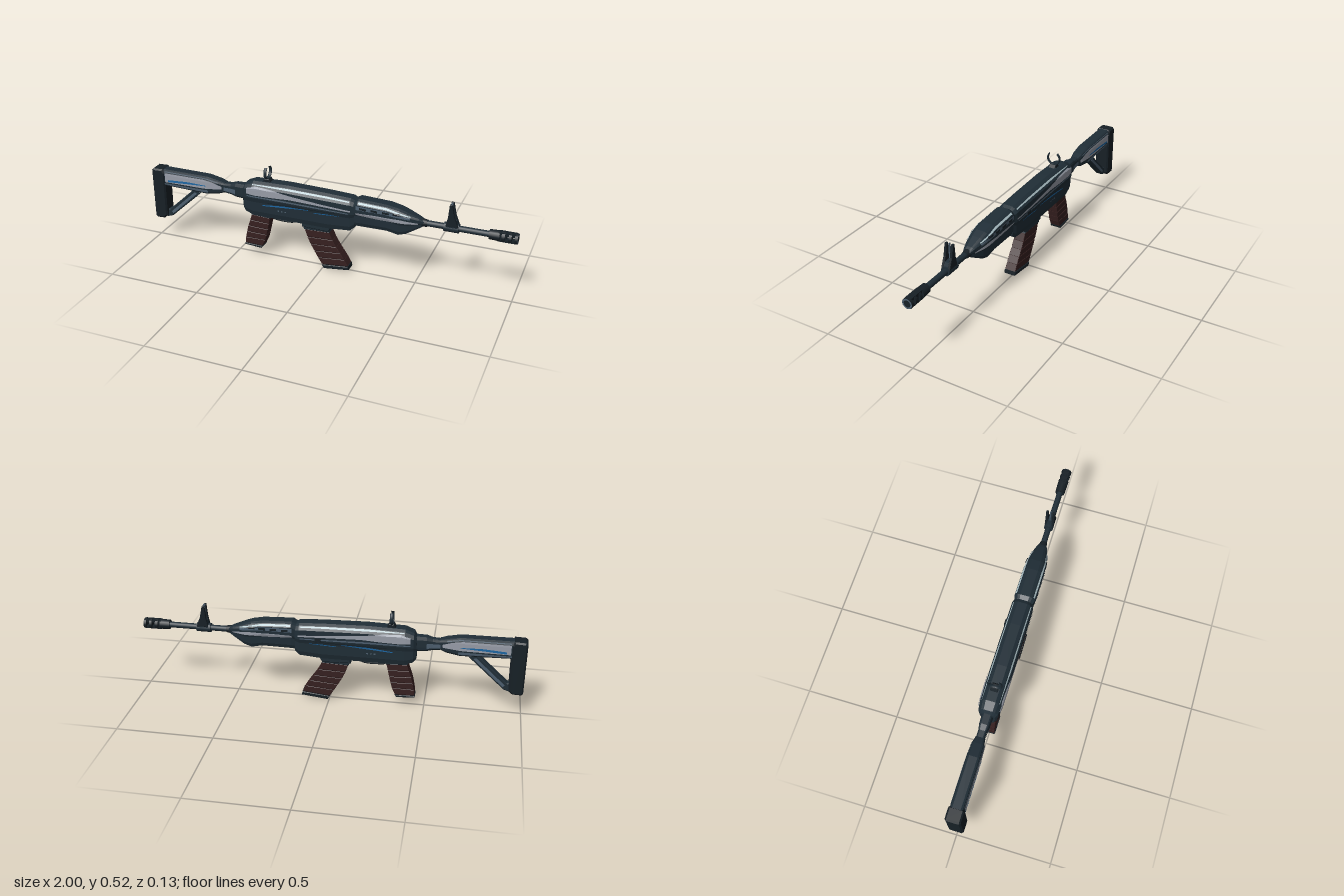
import * as THREE from 'three';

const mat = (name, color) => Object.assign(new THREE.MeshStandardMaterial({ color }), { name });
const M = {
  body: mat('gunmetal', 0x202e37),
  dark: mat('blackSteel', 0x172026),
  steel: mat('blueSteel', 0x4d5f6f),
  silver: mat('silver', 0x989da8),
  trim: mat('paleTrim', 0xaec3c9),
  blue: mat('blueStripe', 0x1d67a4),
  brown: mat('brownGrip', 0x372020),
  groove: mat('darkBrown', 0x1f1415),
};

// half cross-section: [height fraction, width fraction]
const SHELL = [[0, 0.72], [0.14, 0.86], [0.42, 0.88], [0.54, 1], [0.84, 1], [0.95, 0.72], [1, 0.45]];
const STOCK = [[0, 0.7], [0.12, 0.95], [0.3, 1], [0.8, 1], [0.95, 0.85], [1, 0.6]];

// stations run along x: [x, bottom, top, half width]
const receiver = { sec: SHELL, st: [[-0.45, 0.28, 0.4, 0.038], [-0.435, 0.265, 0.425, 0.05], [-0.39, 0.25, 0.443, 0.055],
  [-0.2, 0.25, 0.448, 0.056], [0.03, 0.25, 0.442, 0.056], [0.155, 0.26, 0.436, 0.055], [0.178, 0.28, 0.425, 0.048]] };
const guard = { sec: SHELL, st: [[0.17, 0.29, 0.425, 0.047], [0.195, 0.295, 0.44, 0.054], [0.35, 0.297, 0.433, 0.054],
  [0.41, 0.283, 0.422, 0.05], [0.45, 0.295, 0.408, 0.045], [0.51, 0.33, 0.385, 0.028], [0.535, 0.345, 0.372, 0.019]] };
const stock = { sec: STOCK, st: [[-0.935, 0.325, 0.42, 0.035], [-0.67, 0.318, 0.418, 0.035], [-0.6, 0.33, 0.405, 0.031], [-0.565, 0.342, 0.395, 0.023]] };
const neck = { sec: STOCK, st: [[-0.59, 0.342, 0.392, 0.021], [-0.53, 0.335, 0.395, 0.021], [-0.5, 0.328, 0.404, 0.026], [-0.44, 0.325, 0.405, 0.028]] };

const lerp = THREE.MathUtils.lerp;

// piecewise linear lookup in rows keyed by their first number
function sample(rows, k) {
  let i = 0;
  while (i < rows.length - 2 && k > rows[i + 1][0]) i++;
  const a = rows[i], b = rows[i + 1];
  const t = THREE.MathUtils.clamp((k - a[0]) / (b[0] - a[0]), 0, 1);
  return a.map((v, j) => lerp(v, b[j], t));
}

function fromTriangles(pos) {
  const g = new THREE.BufferGeometry();
  g.setAttribute('position', new THREE.Float32BufferAttribute(pos, 3));
  g.computeVertexNormals();
  return g;
}

// faceted hull through the stations, closed at both ends
function loft({ sec, st }) {
  const half = [...sec, ...[...sec].reverse().map(([v, w]) => [v, -w])];
  const rings = st.map(([x, b, t, hw]) => half.map(([v, w]) => [x, lerp(b, t, v), w * hw]));
  const n = half.length, pos = [];
  for (let i = 0; i < rings.length - 1; i++) for (let j = 0; j < n; j++) {
    const k = (j + 1) % n, A = rings[i], B = rings[i + 1];
    pos.push(...A[j], ...B[j], ...B[k], ...A[j], ...B[k], ...A[k]);
  }
  const S = rings[0], E = rings[rings.length - 1];
  for (let k = 1; k < n - 1; k++) pos.push(...S[0], ...S[k], ...S[k + 1], ...E[0], ...E[k + 1], ...E[k]);
  return fromTriangles(pos);
}

// thin skin following a hull's flank; rows: [x, low y, high y]
function skin(hull, rows, side, lift) {
  const nx = 24, ny = 5, pos = [], x0 = rows[0][0], x1 = rows[rows.length - 1][0];
  const point = (i, j) => {
    const [x, lo, hi] = sample(rows, lerp(x0, x1, i / nx));
    const y = lerp(lo, hi, j / ny), [, b, t, hw] = sample(hull.st, x);
    return [x, y, side * (sample(hull.sec, (y - b) / (t - b))[1] * hw + lift)];
  };
  for (let i = 0; i < nx; i++) for (let j = 0; j < ny; j++) {
    const a = point(i, j), b = point(i + 1, j), c = point(i + 1, j + 1), d = point(i, j + 1);
    pos.push(...(side > 0 ? [a, b, c, a, c, d] : [a, c, b, a, d, c]).flat());
  }
  return fromTriangles(pos);
}

// bevelled plate cut from a side profile, centred on z
function plate(pts, width, bevel = 0.006) {
  const g = new THREE.ExtrudeGeometry(new THREE.Shape(pts.map(p => new THREE.Vector2(...p))), {
    depth: width - 2 * bevel, bevelEnabled: bevel > 0, bevelThickness: bevel, bevelSize: bevel, bevelOffset: -bevel, bevelSegments: 1 });
  return g.translate(0, 0, -width / 2 + bevel);
}

// round bar along x at barrel height
const bar = (x0, x1, r, r2 = r) =>
  new THREE.CylinderGeometry(r2, r, x1 - x0, 16).rotateZ(-Math.PI / 2).translate((x0 + x1) / 2, 0.358, 0);

const box = (x0, x1, y0, y1, w, z = 0) =>
  new THREE.BoxGeometry(x1 - x0, y1 - y0, w).translate((x0 + x1) / 2, (y0 + y1) / 2, z);

export function createModel() {
  const root = new THREE.Group();
  root.name = 'rifle';
  const add = (name, geo, material) => {
    const m = new THREE.Mesh(geo, material);
    m.name = name;
    root.add(m);
  };
  const paint = (name, hull, rows, material, lift = 0.003) => {
    for (const s of [1, -1]) add(name, skin(hull, rows, s, lift), material);
  };

  // main hulls
  add('receiver', loft(receiver), M.body);
  add('handguard', loft(guard), M.body);
  add('stock', loft(stock), M.body);
  add('stockNeck', loft(neck), M.body);

  // receiver paint
  paint('receiverPanel', receiver, [[-0.42, 0.378, 0.408], [-0.37, 0.374, 0.424], [-0.27, 0.377, 0.42], [-0.17, 0.383, 0.405], [0.0, 0.378, 0.39], [0.16, 0.372, 0.38]], M.silver, 0.005);
  paint('receiverShade', receiver, [[-0.42, 0.362, 0.368], [-0.2, 0.362, 0.371], [0.15, 0.358, 0.363]], M.steel);
  paint('receiverStripe', receiver, [[-0.33, 0.318, 0.323], [-0.2, 0.328, 0.338], [-0.07, 0.338, 0.342]], M.blue);
  paint('receiverStripeTail', receiver, [[-0.04, 0.327, 0.33], [0.03, 0.33, 0.336], [0.1, 0.334, 0.336]], M.blue);
  paint('receiverSeam', receiver, [[-0.3, 0.339, 0.342], [0.08, 0.348, 0.351]], M.dark);
  paint('receiverTrim', receiver, [[-0.39, 0.428, 0.431], [-0.2, 0.428, 0.437], [0.03, 0.424, 0.432], [0.15, 0.42, 0.425]], M.trim);
  for (const x of [-0.245, -0.225, -0.205])
    paint('receiverMark', receiver, [[x, 0.3, 0.307], [x + 0.01, 0.3, 0.307]], M.steel);

  // handguard paint
  paint('guardPanel', guard, [[0.19, 0.363, 0.374], [0.3, 0.356, 0.377], [0.42, 0.356, 0.375], [0.51, 0.354, 0.362]], M.silver, 0.004);
  paint('guardBand', guard, [[0.19, 0.391, 0.413], [0.34, 0.392, 0.411], [0.47, 0.377, 0.388]], M.steel);
  paint('guardTrim', guard, [[0.2, 0.422, 0.43], [0.35, 0.416, 0.424], [0.47, 0.39, 0.394]], M.trim);
  for (const x of [0.21, 0.27, 0.33, 0.385])
    paint('guardVent', guard, [[x, 0.395, 0.407], [x + 0.035, 0.394, 0.405]], M.dark, 0.005);

  // stock paint, butt and strut
  paint('stockPanel', stock, [[-0.92, 0.35, 0.403], [-0.68, 0.352, 0.403], [-0.62, 0.357, 0.392], [-0.58, 0.36, 0.376]], M.silver);
  paint('stockStripe', stock, [[-0.9, 0.354, 0.366], [-0.78, 0.362, 0.374], [-0.67, 0.368, 0.371]], M.blue, 0.005);
  paint('stockTrim', stock, [[-0.92, 0.408, 0.413], [-0.67, 0.407, 0.412], [-0.6, 0.394, 0.398]], M.steel);
  paint('stockUnderside', stock, [[-0.925, 0.33, 0.343], [-0.66, 0.328, 0.345]], M.steel);
  paint('neckFacet', neck, [[-0.57, 0.352, 0.372], [-0.5, 0.345, 0.372]], M.steel);
  add('buttPlate', plate([[-1, 0.132], [-0.99, 0.124], [-0.945, 0.126], [-0.925, 0.145], [-0.922, 0.4], [-0.935, 0.422], [-0.99, 0.42], [-1, 0.41]], 0.08, 0.008), M.dark);
  add('stockStrut', plate([[-0.935, 0.13], [-0.9, 0.142], [-0.71, 0.315], [-0.755, 0.327], [-0.915, 0.18], [-0.935, 0.175]], 0.04, 0.004), M.body);
  for (const s of [1, -1])
    add('strutFace', plate([[-0.905, 0.168], [-0.752, 0.31], [-0.737, 0.304], [-0.895, 0.157]], 0.004, 0).translate(0, 0, s * 0.0195), M.steel);

  // ribbed grip and magazine: a dark core with brown sections; rows: [t, back x, back y, front x, front y]
  const ribbed = (name, rows, count, width, t0, t1) => {
    const quad = (a, b, inset) => {
      const p = sample(rows, a), q = sample(rows, b);
      return [[q[1] + inset, q[2]], [q[3] - inset, q[4]], [p[3] - inset, p[4]], [p[1] + inset, p[2]]];
    };
    for (let i = 0; i < count; i++) {
      const a = lerp(t0, t1, i / count), b = lerp(t0, t1, (i + 1) / count);
      add(name + 'Core', plate(quad(a, b, 0.003), width - 0.006, 0), M.groove);
      add(name + 'Section', plate(quad(a, b - 0.012, 0), width, 0.002), M.brown);
    }
    add(name + 'Collar', plate(quad(0, t0, -0.003), width + 0.006, 0.003), M.body);
    add(name + 'Base', plate(quad(t1, 1, -0.002), width + 0.006, 0.003), M.dark);
  };
  ribbed('grip', [[0, -0.398, 0.265, -0.295, 0.26], [0.5, -0.434, 0.16, -0.318, 0.155], [0.85, -0.449, 0.085, -0.335, 0.088], [1, -0.45, 0.056, -0.357, 0.05]], 5, 0.058, 0.1, 0.95);
  ribbed('magazine', [[0, -0.112, 0.25, 0.02, 0.255], [0.35, -0.08, 0.155, 0.063, 0.16], [0.7, -0.035, 0.075, 0.113, 0.088], [0.9, -0.007, 0.03, 0.14, 0.045], [1, 0.01, 0.002, 0.145, 0.018]], 5, 0.06, 0.13, 0.93);
  add('magazineWell', plate([[-0.115, 0.23], [0.035, 0.225], [0.06, 0.265], [-0.11, 0.265]], 0.078), M.body);

  // trigger and its guard
  const guardPath = new THREE.CatmullRomCurve3([[-0.3, 0.255], [-0.292, 0.232], [-0.26, 0.226], [-0.19, 0.226], [-0.165, 0.234], [-0.15, 0.255]].map(([x, y]) => new THREE.Vector3(x, y, 0)));
  add('triggerGuard', new THREE.TubeGeometry(guardPath, 24, 0.005, 6), M.dark);
  add('trigger', plate([[-0.24, 0.26], [-0.232, 0.234], [-0.226, 0.234], [-0.225, 0.26]], 0.012, 0), M.steel);

  // charging handle on the right flank
  add('chargingHandle', box(0.04, 0.07, 0.353, 0.371, 0.012, -0.059), M.dark);

  // barrel and ported muzzle
  add('barrel', bar(0.5, 0.88, 0.0155), M.body);
  add('barrelNut', bar(0.525, 0.55, 0.022, 0.018), M.dark);
  add('muzzleCollar', bar(0.86, 0.912, 0.025, 0.027), M.dark);
  for (const [a, b] of [[0.922, 0.938], [0.956, 0.97], [0.986, 1]]) add('muzzleRing', bar(a, b, 0.027), M.dark);
  for (const s of [1, -1]) add('muzzleRail', box(0.905, 0.995, 0.358 + s * 0.017 - 0.007, 0.358 + s * 0.017 + 0.007, 0.032), M.dark);
  add('muzzleSpine', box(0.905, 0.945, 0.346, 0.37, 0.03), M.dark);
  add('muzzleFace', new THREE.RingGeometry(0.018, 0.026, 20).rotateY(Math.PI / 2).translate(1.0005, 0.358, 0), M.steel);

  // front sight: collar, twin ears and a thin post
  add('frontSightCollar', bar(0.635, 0.71, 0.024), M.body);
  add('frontSightBase', plate([[0.643, 0.36], [0.71, 0.36], [0.695, 0.4], [0.652, 0.405]], 0.045, 0.004), M.body);
  for (const s of [1, -1])
    add('frontSightEar', plate([[0.645, 0.37], [0.708, 0.37], [0.686, 0.425], [0.673, 0.487], [0.66, 0.487], [0.655, 0.42]], 0.013, 0.002).translate(0, 0, s * 0.0175), M.dark);
  add('frontSightPost', box(0.662, 0.672, 0.39, 0.49, 0.006), M.steel);

  // rear sight: broad ring open at the top
  const gap = 0.6;
  add('rearSightRing', new THREE.TorusGeometry(0.035, 0.004, 8, 32, Math.PI * 2 - 2 * gap).scale(1, 1, 2.2)
    .rotateZ(Math.PI / 2 + gap).rotateY(Math.PI / 2).translate(-0.318, 0.494, 0), M.body);
  add('rearSightBase', plate([[-0.345, 0.435], [-0.29, 0.435], [-0.305, 0.462], [-0.33, 0.462]], 0.04, 0.003), M.dark);

  root.position.z = 0.003;
  return root;
}
